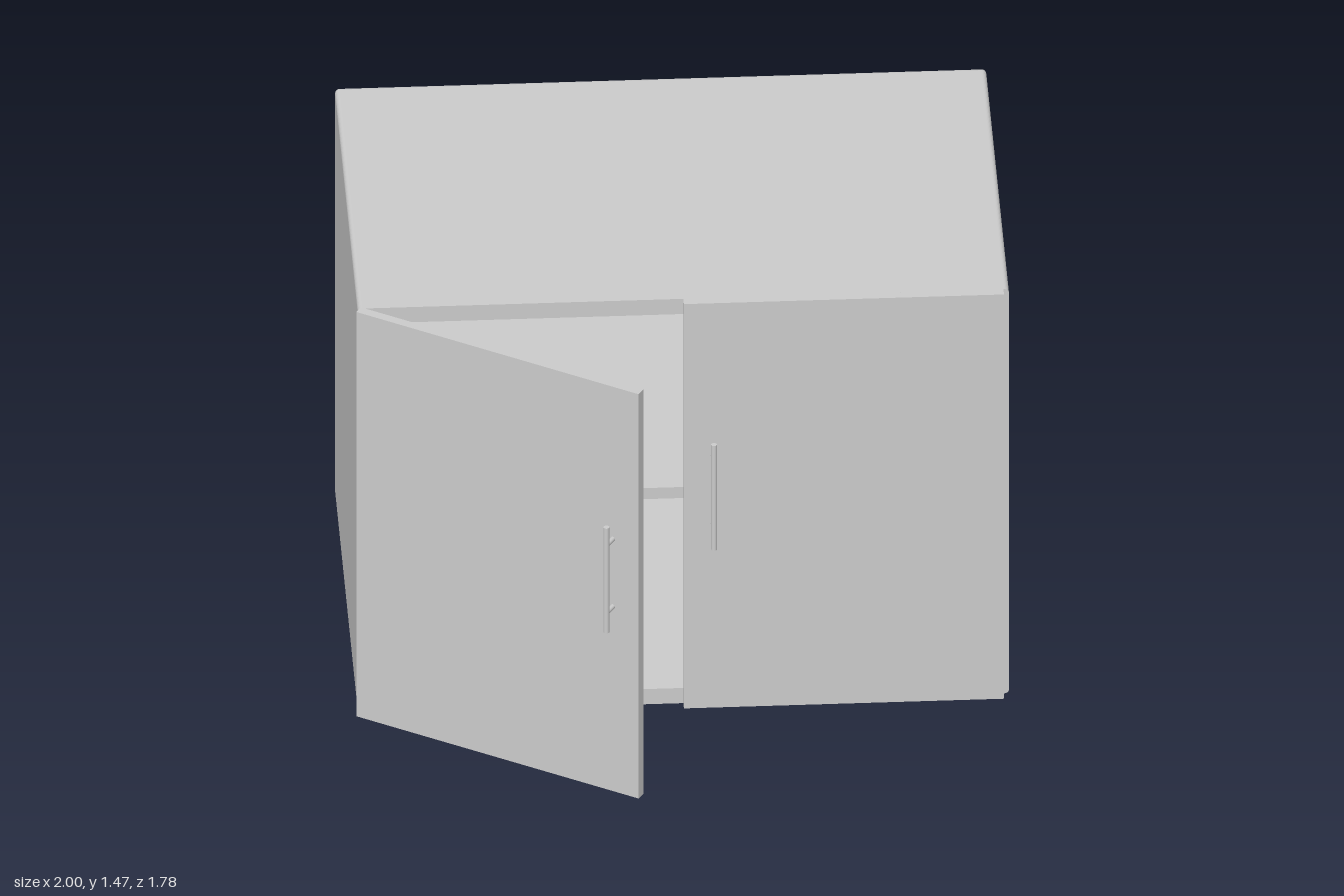
import * as THREE from 'three';

const W = 1.99, H = 1.467, FRONT = 0.36, BACK = -0.89;
const SIDE = 0.06, WALL = 0.055, BACK_WALL = 0.17, ROUND = 0.015;
const DOOR_W = 0.978, DOOR_T = 0.03;
const material = new THREE.MeshStandardMaterial({ color: 0xcccccc });

function add(parent, name, geometry, x = 0, y = 0, z = 0) {
  const mesh = new THREE.Mesh(geometry, material);
  mesh.name = name;
  mesh.position.set(x, y, z);
  parent.add(mesh);
  return mesh;
}

// Front outline of the cabinet with softened corners
function outline() {
  const s = new THREE.Shape(), a = W / 2, r = ROUND;
  s.absarc(a - r, r, r, -Math.PI / 2, 0);
  s.absarc(a - r, H - r, r, 0, Math.PI / 2);
  s.absarc(-a + r, H - r, r, Math.PI / 2, Math.PI);
  s.absarc(-a + r, r, r, Math.PI, Math.PI * 1.5);
  s.closePath();
  return s;
}

function makeCarcass() {
  const g = new THREE.Group();
  g.name = 'carcass';

  // Top, bottom and both sides as one hollow frame
  const frame = outline(), a = W / 2 - SIDE;
  frame.holes.push(new THREE.Path([
    new THREE.Vector2(-a, WALL), new THREE.Vector2(-a, H - WALL),
    new THREE.Vector2(a, H - WALL), new THREE.Vector2(a, WALL),
  ]));
  add(g, 'frame', new THREE.ExtrudeGeometry(frame, {
    depth: FRONT - BACK - ROUND, bevelEnabled: false, curveSegments: 6,
  }), 0, 0, BACK + ROUND);

  // Rounded rear face
  add(g, 'backPanel', new THREE.ExtrudeGeometry(outline(), {
    depth: 0.001, bevelThickness: ROUND, bevelSize: ROUND, bevelOffset: -ROUND,
    bevelSegments: 4, curveSegments: 6,
  }), 0, 0, BACK + ROUND);

  // Inner back wall and middle shelf
  const depth = BACK_WALL - ROUND;
  add(g, 'innerBack', new THREE.BoxGeometry(2 * a, H - 2 * WALL, depth),
    0, H / 2, BACK + ROUND + depth / 2);
  const shelfBack = BACK + BACK_WALL, shelfFront = FRONT - 0.03;
  add(g, 'shelf', new THREE.BoxGeometry(2 * a, 0.04, shelfFront - shelfBack),
    0, 0.745, (shelfFront + shelfBack) / 2);
  return g;
}

// Door hinged at its own origin; dir is the direction towards its free edge
function makeDoor(name, dir) {
  const g = new THREE.Group();
  g.name = name;
  add(g, 'doorPanel', new THREE.BoxGeometry(DOOR_W, H, DOOR_T),
    dir * DOOR_W / 2, H / 2, -DOOR_T / 2);

  // Bar handle on two posts
  const x = dir * (DOOR_W - 0.09);
  add(g, 'handleBar', new THREE.CylinderGeometry(0.009, 0.009, 0.38, 20), x, 0.79, 0.04);
  for (const y of [0.67, 0.915]) {
    const post = add(g, 'handlePost', new THREE.CylinderGeometry(0.008, 0.008, 0.04, 16), x, y, 0.02);
    post.rotation.x = Math.PI / 2;
  }
  return g;
}

export function createModel() {
  const model = new THREE.Group();
  model.name = 'cabinet';
  model.add(makeCarcass());

  // Closed door
  const closed = makeDoor('leftDoor', -1);
  closed.position.set(DOOR_W, 0, FRONT + DOOR_T);
  model.add(closed);

  // Open door
  const open = makeDoor('rightDoor', 1);
  open.position.set(-1, 0, 0.378);
  open.rotation.y = -THREE.MathUtils.degToRad(31.5);
  model.add(open);
  return model;
}
